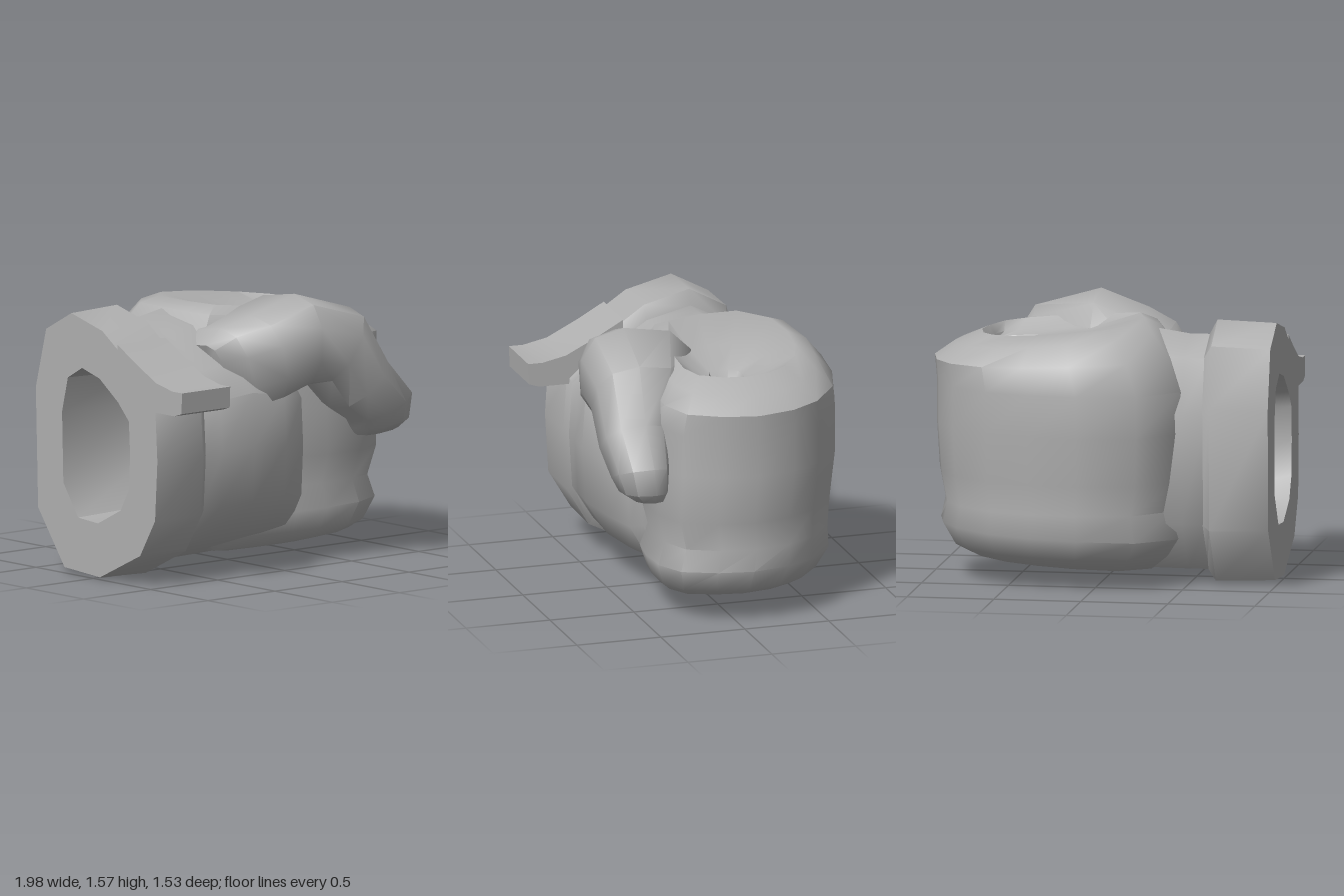
import * as THREE from 'three';
import { toCreasedNormals } from 'three/addons/utils/BufferGeometryUtils.js';

// Skin a closed solid through rings of [x, y, z] points; winding is made outward.
function loft(rings, capStart = true, capEnd = true, crease = 0.8) {
  const n = rings[0].length;
  const pts = rings.flat();
  const tris = [];
  for (let r = 0; r < rings.length - 1; r++) {
    for (let i = 0; i < n; i++) {
      const j = (i + 1) % n, a = r * n, b = a + n;
      tris.push([a + i, a + j, b + j], [a + i, b + j, b + i]);
    }
  }
  const cap = (r, flip) => {
    const c = [0, 1, 2].map(k => rings[r].reduce((s, p) => s + p[k], 0) / n);
    pts.push(c);
    for (let i = 0; i < n; i++) {
      const a = r * n + i, b = r * n + (i + 1) % n;
      tris.push(flip ? [b, a, pts.length - 1] : [a, b, pts.length - 1]);
    }
  };
  if (capStart) cap(0, true);
  if (capEnd) cap(rings.length - 1, false);

  // Signed volume about the middle tells which way the faces point
  const mid = new THREE.Vector3();
  pts.forEach(p => mid.add(new THREE.Vector3(...p).divideScalar(pts.length)));
  const V = i => new THREE.Vector3(...pts[i]).sub(mid);
  let volume = 0;
  tris.forEach(([a, b, c]) => { volume += V(a).dot(V(b).cross(V(c))); });
  if (volume < 0) tris.forEach(t => t.reverse());

  const g = new THREE.BufferGeometry();
  g.setAttribute('position', new THREE.Float32BufferAttribute(pts.flat(), 3));
  g.setIndex(tris.flat());
  return toCreasedNormals(g, crease);
}

export function createModel() {
  const group = new THREE.Group();
  const gray = new THREE.MeshStandardMaterial({ color: 0xb0b0b0 });
  gray.name = 'glove gray';
  const add = (name, geometry) => {
    const m = new THREE.Mesh(geometry, gray);
    m.name = name;
    group.add(m);
  };

  // Cuff outline as [z, y], shared by cuff, opening and wrist
  const outline = [
    [-0.26, 0.03], [0.05, 0.01], [0.4, 0.18], [0.53, 0.4], [0.55, 0.75], [0.53, 1.08],
    [0.36, 1.25], [0.07, 1.45], [-0.2, 1.52], [-0.42, 1.4], [-0.51, 1.05], [-0.49, 0.35],
  ];
  const slice = (x, sz, sy, cy = 0.77) =>
    outline.map(([z, y]) => [x, cy + (y - 0.77) * sy, 0.01 + (z - 0.01) * sz]);

  // Cuff with a deep opening at its outer end
  add('cuff', loft([
    slice(-0.5, 0.54, 0.56), slice(-1, 0.56, 0.58), slice(-1, 1, 0.985),
    slice(-0.66, 1, 1), slice(-0.61, 0.95, 0.89, 0.76), slice(-0.6, 0.65, 0.65),
  ], true, false));

  // Wrist and heel of the palm, slanting back toward the curled fingers
  add('palm', loft([
    slice(-0.64, 0.96, 0.9, 0.76), slice(-0.5, 0.97, 0.9, 0.76),
    slice(-0.28, 1.02, 0.92, 0.78), slice(0.0, 0.92, 0.87, 0.75),
    slice(0.18, 0.8, 0.82, 0.72), slice(0.23, 0.68, 0.78, 0.72),
  ], false, true));

  // Pull tab on the front of the cuff
  const tab = new THREE.Shape([
    [0.2, 1.2], [0.5, 1.03], [0.7, 1.03], [0.76, 1.05], [0.765, 1.17], [0.68, 1.17],
    [0.54, 1.2], [0.36, 1.29], [0.2, 1.38],
  ].map(p => new THREE.Vector2(...p)));
  const tabGeo = new THREE.ExtrudeGeometry(tab, { depth: 0.36, bevelEnabled: false });
  tabGeo.rotateY(-Math.PI / 2).translate(-0.64, 0, 0);
  add('cuffTab', toCreasedNormals(tabGeo, 0.7));

  // Curled fingers: plan outline [x, z] scaled at each height, pit in the top
  const plan = [
    [0.98, -0.09], [0.93, -0.32], [0.82, -0.5], [0.6, -0.67], [0.35, -0.745], [0.06, -0.77],
    [-0.28, -0.71], [-0.5, -0.47], [-0.5, -0.1], [-0.42, 0.2], [-0.1, 0.3], [0.2, 0.37],
    [0.4, 0.4], [0.65, 0.4], [0.84, 0.32], [0.94, 0.12],
  ];
  const layer = (y, s, tilt = 0, cx = 0.25, cz = -0.12) => plan.map(([x, z]) => {
    const px = cx + (x - 0.25) * s, pz = cz + (z + 0.12) * s;
    return [px, y - (px - 0.25) * tilt, pz];
  });
  add('fingers', loft([
    layer(0.1, 0.5, -0.05, 0.25, -0.06), layer(0.13, 0.74, -0.05, 0.25, -0.08),
    layer(0.19, 0.86, -0.02, 0.25, -0.09), layer(0.31, 0.96, -0.03, 0.25, -0.1),
    layer(0.45, 0.92), layer(0.62, 0.97, 0, 0.25, -0.1), layer(0.9, 0.99), layer(1.14, 0.99),
    layer(1.3, 0.95, 0.05, 0.29), layer(1.41, 0.8, 0.1, 0.28), layer(1.46, 0.63, 0.1, 0.25),
    layer(1.4, 0.4, 0.08, 0.38, -0.08),
    layer(1.38, 0.18, 0.08, 0.53, -0.03), layer(1.22, 0.05, 0, 0.55, -0.03),
  ]));

  // Thumb: [x, y, z, half height, front depth, back depth, direction of its upper side]
  const thumb = [
    [-0.35, 1.18, 0.28, 0.15, 0.1, 0.3, 1.95],
    [-0.25, 1.17, 0.32, 0.26, 0.19, 0.4, 1.9],
    [-0.11, 1.23, 0.4, 0.26, 0.24, 0.45, 1.8],
    [0.11, 1.315, 0.44, 0.265, 0.26, 0.42, 1.55],
    [0.36, 1.26, 0.47, 0.25, 0.235, 0.3, 0.97],
    [0.51, 1.04, 0.49, 0.22, 0.21, 0.17, 0.66],
    [0.68, 0.89, 0.5, 0.21, 0.18, 0.13, 0.38],
    [0.695, 0.79, 0.49, 0.18, 0.15, 0.11, 0.12],
    [0.69, 0.74, 0.48, 0.14, 0.09, 0.08, 0.1],
  ];
  add('thumb', loft(thumb.map(([x, y, z, a, front, back, dir]) =>
    Array.from({ length: 10 }, (_, i) => {
      const t = i / 10 * Math.PI * 2;
      const u = Math.sign(Math.cos(t)) * Math.abs(Math.cos(t)) ** 0.85 * a;
      const w = Math.sign(Math.sin(t)) * Math.abs(Math.sin(t)) ** 0.8;
      return [x + u * Math.cos(dir), y + u * Math.sin(dir), z + w * (w > 0 ? front : back)];
    }))));

  // Settle on the ground and centre
  const box = new THREE.Box3().setFromObject(group);
  const c = box.getCenter(new THREE.Vector3());
  group.children.forEach(m => m.geometry.translate(-c.x, -box.min.y, -c.z));
  return group;
}
